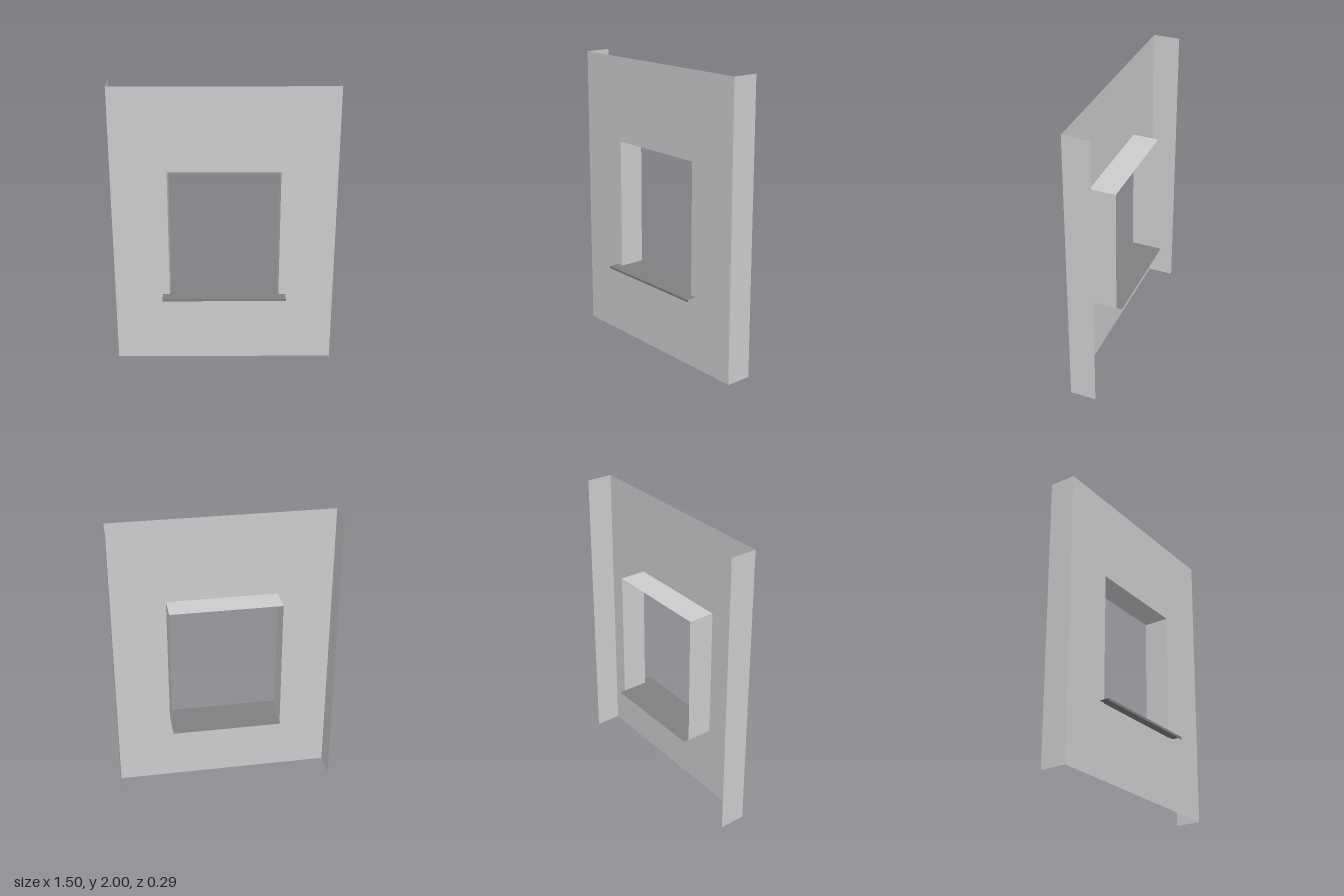
import * as THREE from 'three';

const FRONT = 0.072, BACK = -0.108;       // wall sheet and rear edge of the returns
const W = 0.75, H = 2;                    // half width and height of the wall
const OW = 0.376, OB = 0.503, OT = 1.415; // opening half width, bottom, top

export function createModel() {
  const group = new THREE.Group();
  const wallMat = new THREE.MeshStandardMaterial({ color: 0xcccccc, side: THREE.DoubleSide });
  const sillMat = new THREE.MeshStandardMaterial({ color: 0x7f7f7f, side: THREE.DoubleSide });

  const add = (name, geometry, material = wallMat) => {
    const mesh = new THREE.Mesh(geometry, material);
    mesh.name = name;
    group.add(mesh);
    return mesh;
  };
  const polygon = (points) => points.map(([x, y]) => new THREE.Vector2(x, y));
  const depth = FRONT - BACK, midZ = (FRONT + BACK) / 2;

  // Upright sheet running front to back
  const upright = (name, x, y0, y1) => add(name, new THREE.PlaneGeometry(depth, y1 - y0)
    .rotateY(Math.sign(x) * Math.PI / 2).translate(x, (y0 + y1) / 2, midZ));

  // Level sheet running front to back, facing up or down
  const level = (name, y, facing) => add(name, new THREE.PlaneGeometry(2 * OW, depth)
    .rotateX(-facing * Math.PI / 2).translate(0, y, midZ));

  // Front wall sheet with the window opening
  const wall = new THREE.Shape(polygon([[-W, 0], [W, 0], [W, H], [-W, H]]));
  wall.holes.push(new THREE.Path(polygon([[-OW, OB], [-OW, OT], [OW, OT], [OW, OB]])));
  add('wallFront', new THREE.ShapeGeometry(wall).translate(0, 0, FRONT));

  // Wall side returns and opening reveals
  for (const [side, s] of [['left', 1], ['right', -1]]) {
    upright(side + 'WallReturn', s * W, 0, H);
    upright(side + 'Reveal', s * OW, OB, OT);
  }
  level('topReveal', OT, 1);
  level('bottomReveal', OB, -1);

  // Sill board: fills the opening, with wider ears in front of the wall
  const nose = 0.145, tail = -0.147, ear = 0.424, inner = OW - 0.001, sillY = 0.507;
  const sill = new THREE.Shape(polygon([
    [-ear, -nose], [ear, -nose], [ear, -FRONT], [inner, -FRONT],
    [inner, -tail], [-inner, -tail], [-inner, -FRONT], [-ear, -FRONT],
  ]));
  add('sillBoard', new THREE.ShapeGeometry(sill).rotateX(-Math.PI / 2).translate(0, sillY, 0), sillMat);

  // Turned-down drip edge along the sill nose
  const lip = 0.016;
  add('sillDripEdge', new THREE.BoxGeometry(2 * ear, lip, 0.005)
    .translate(0, sillY - lip / 2, nose - 0.0025), sillMat);

  return group;
}
